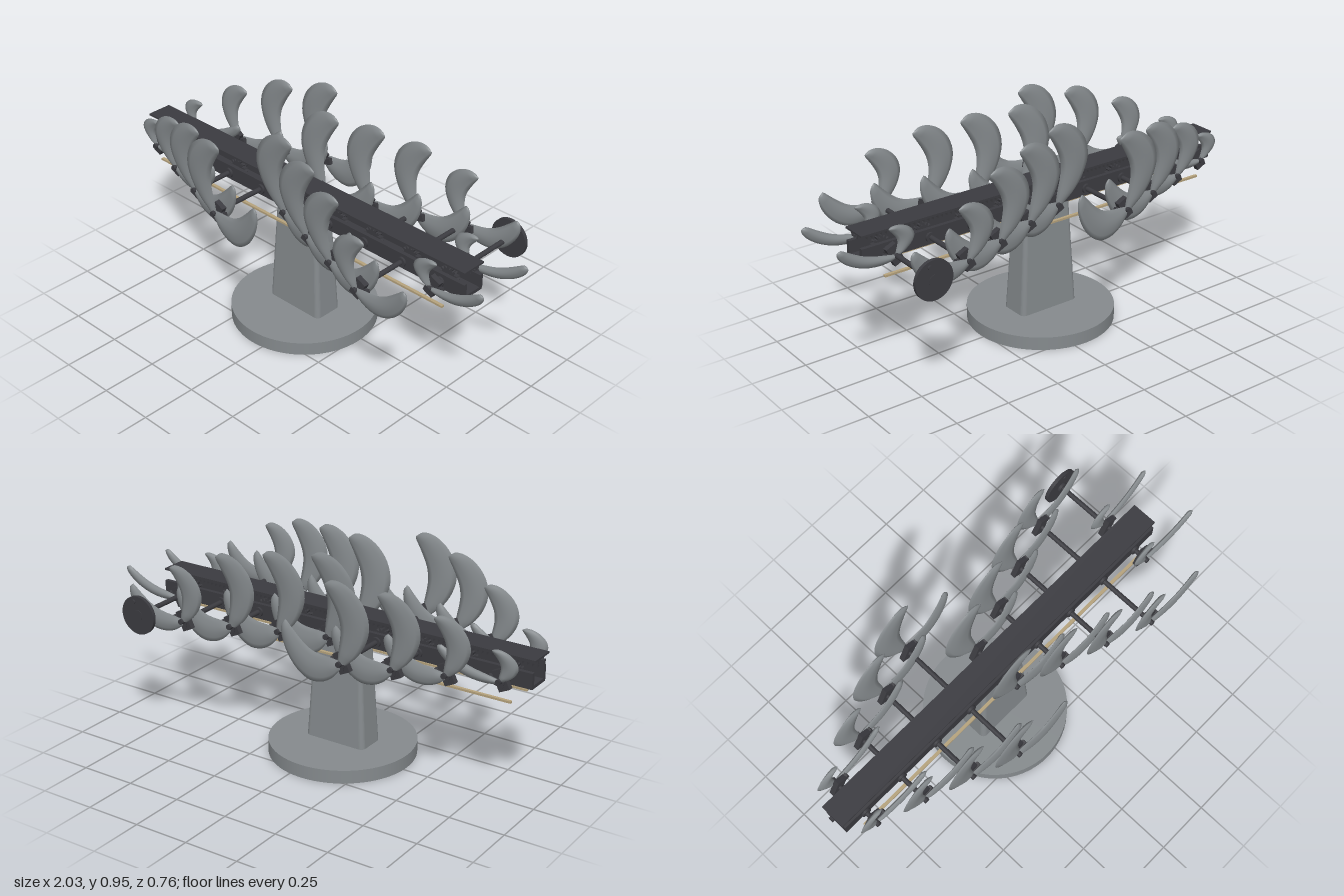
import * as THREE from 'three';

const CZ = 0.02;      // depth of the mechanism's centre plane
const AXLE_Y = 0.575; // height of all axles

export function createModel() {
  const grey = new THREE.MeshStandardMaterial({ color: 0x858a8d, side: THREE.DoubleSide });
  grey.name = 'grey';
  const dark = new THREE.MeshStandardMaterial({ color: 0x3b3b40 });
  dark.name = 'charcoal';
  const tan = new THREE.MeshStandardMaterial({ color: 0xb5a27c });
  tan.name = 'tan';

  const model = new THREE.Group();
  const add = (name, geo, mat, x = 0, y = 0, z = 0, parent = model) => {
    const mesh = new THREE.Mesh(geo, mat);
    mesh.name = name;
    mesh.position.set(x, y, z);
    parent.add(mesh);
    return mesh;
  };
  const box = (name, w, h, d, mat, x, y, z, parent) =>
    add(name, new THREE.BoxGeometry(w, h, d), mat, x, y, z, parent);
  const rod = (r, len, sides = 20) => new THREE.CylinderGeometry(r, r, len, sides).rotateX(Math.PI / 2);

  // Round base
  add('base', new THREE.CylinderGeometry(0.326, 0.326, 0.06, 64), grey, -0.057, 0.03, CZ);

  // Tapered column with rounded corners
  const hw = 0.148, hd = 0.07, r = 0.022;
  const section = new THREE.Shape();
  section.moveTo(-hw + r, -hd);
  section.lineTo(hw - r, -hd);
  section.absarc(hw - r, -hd + r, r, -Math.PI / 2, 0);
  section.absarc(hw - r, hd - r, r, 0, Math.PI / 2);
  section.absarc(-hw + r, hd - r, r, Math.PI / 2, Math.PI);
  section.absarc(-hw + r, -hd + r, r, Math.PI, Math.PI * 1.5);
  const column = new THREE.ExtrudeGeometry(section, { depth: 0.485, bevelEnabled: false, curveSegments: 6 });
  column.rotateX(-Math.PI / 2);
  const cp = column.attributes.position;
  for (let i = 0; i < cp.count; i++) {
    const t = cp.getY(i) / 0.485;
    cp.setX(i, cp.getX(i) * (1 - 0.2 * t));
    cp.setZ(i, cp.getZ(i) * (1 - 0.26 * t));
  }
  column.computeVertexNormals();
  add('column', column, grey, -0.057, 0.06, CZ);

  // Open trough carrying the axles
  box('troughFloor', 1.85, 0.015, 0.11, dark, -0.055, 0.5475, CZ);
  for (const s of [-1, 1]) {
    box('troughWall', 1.85, 0.065, 0.018, dark, -0.055, 0.578, CZ + s * 0.049);
    // Thin guide rods below the trough
    box('guideRod', 1.68, 0.009, 0.014, tan, -0.06, 0.473, CZ + s * 0.07);
    // Rails hanging under the cover
    box('coverRail', 1.85, 0.016, 0.008, dark, -0.06, 0.652, CZ + s * 0.022);
    box('railLip', 1.85, 0.005, 0.014, dark, -0.06, 0.643, CZ + s * 0.018);
  }
  box('coverPlate', 1.86, 0.008, 0.118, dark, -0.06, 0.664, CZ);

  // Toothed rack
  box('rack', 1.84, 0.024, 0.02, dark, -0.08, 0.644, CZ);
  const teeth = 80;
  const tooth = new THREE.BoxGeometry(0.01, 0.014, 0.02);
  const rackTeeth = new THREE.InstancedMesh(tooth, dark, 0);
  rackTeeth.dispose();
  for (let i = 0; i < teeth; i++)
    add('rackTooth', tooth, dark, -0.97 + i * 0.0225, 0.626, CZ);

  // Pinion outline
  const gearShape = new THREE.Shape();
  const n = 14;
  for (let i = 0; i < n; i++) {
    for (const [o, rad] of [[0, 0.034], [0.3, 0.034], [0.45, 0.045], [0.8, 0.045]]) {
      const a = ((i + o) / n) * Math.PI * 2;
      const x = Math.cos(a) * rad, y = Math.sin(a) * rad;
      if (i === 0 && o === 0) gearShape.moveTo(x, y);
      else gearShape.lineTo(x, y);
    }
  }
  gearShape.closePath();
  const gear = new THREE.ExtrudeGeometry(gearShape, { depth: 0.02, bevelEnabled: false });

  // Pairs of outer and inner edge points of a curved blade, root to tip
  const outer = [[-0.03, 0], [-0.085, 0.05], [-0.13, 0.12], [-0.15, 0.2], [-0.13, 0.28],
    [-0.08, 0.34], [-0.02, 0.371], [0.03, 0.373], [0.062, 0.352]];
  const inner = [[0.012, 0.005], [0.005, 0.06], [-0.005, 0.12], [-0.008, 0.17], [0.002, 0.22],
    [0.025, 0.27], [0.048, 0.31], [0.063, 0.335], [0.066, 0.346]];
  const curve = (pts) => new THREE.CatmullRomCurve3(pts.map(([x, y]) => new THREE.Vector3(x, y, 0)));
  const outerCurve = curve(outer), innerCurve = curve(inner);

  // Lens-sectioned blade; map() places its flat outline, side is the facing direction
  function bladeGeometry(map, side) {
    const rows = 28, half = 6, ring = half * 2;
    const pos = [], idx = [];
    for (let i = 0; i <= rows; i++) {
      const a = outerCurve.getPoint(i / rows), b = innerCurve.getPoint(i / rows);
      const thick = 0.011 * Math.min(1, a.distanceTo(b) / 0.08);
      for (let j = 0; j < ring; j++) {
        const t = j <= half ? j / half : (ring - j) / half;
        const bulge = (j <= half ? 1 : -1) * Math.sin(Math.PI * t) * thick;
        const p = a.clone().lerp(b, t);
        const [x, y] = map(p.x, p.y);
        pos.push(x, y, side * (bulge + Math.hypot(x, y) * 0.055));
      }
    }
    for (let i = 0; i < rows; i++) {
      for (let j = 0; j < ring; j++) {
        const k = (j + 1) % ring;
        const a = i * ring + j, b = i * ring + k, c = a + ring, d = b + ring;
        idx.push(a, b, d, a, d, c);
      }
    }
    const geo = new THREE.BufferGeometry();
    geo.setAttribute('position', new THREE.Float32BufferAttribute(pos, 3));
    geo.setIndex(idx);
    geo.computeVertexNormals();
    return geo;
  }

  // Nine axles, each with a pinion and a pair of blades at both ends
  const xs = [-0.87, -0.665, -0.46, -0.26, -0.055, 0.145, 0.345, 0.55, 0.75];
  const reach = [0.12, 0.19, 0.26, 0.33];
  const rise = [1, 0.96, 0.88, 0.68, 0.36];
  xs.forEach((x, i) => {
    const d = reach[i % 4];
    const s = rise[Math.abs(i - 4)];
    const axle = new THREE.Group();
    axle.name = 'bladeAxle';
    axle.position.set(x, AXLE_Y, CZ);
    model.add(axle);

    const back = i === 8 ? 0.38 : d;
    add('shaft', rod(0.011, d + back), dark, 0, 0, (d - back) / 2, axle);
    add('pinion', gear, dark, 0, 0, -0.01, axle);

    for (const side of [-1, 1]) {
      const hub = box('hubBlock', 0.05, 0.09, 0.024, dark, 0, 0, side * (d - 0.018), axle);
      hub.rotation.z = -0.45;
      const clamp = box('hubArm', 0.075, 0.03, 0.018, dark, 0.02, -0.008, side * (d - 0.012), axle);
      clamp.rotation.z = 0.25;
      add('hubBolt', rod(0.012, 0.02, 12), dark, 0, 0, side * (d + 0.008), axle);
      add('bearing', rod(0.022, 0.012), dark, 0, 0, side * 0.062, axle);

      const wide = 0.3 + 0.7 * s;
      add('upperBlade', bladeGeometry((u, v) => [u * wide, v * s], side), grey, 0, 0, side * d, axle);
      add('lowerBlade', bladeGeometry((u, v) => [v * 0.74, u * s + v * 0.22], side), grey, 0, 0, side * d, axle);
    }
  });

  // Crank wheel on the last axle
  const wheel = new THREE.Group();
  wheel.name = 'crankWheel';
  wheel.position.set(0.75, AXLE_Y, -0.362);
  model.add(wheel);
  add('wheelDisc', rod(0.087, 0.016, 48), dark, 0, 0, 0, wheel);
  add('wheelHub', rod(0.025, 0.03), dark, 0, 0, 0.005, wheel);
  add('wheelPin', rod(0.01, 0.026, 16), dark, 0.02, 0.06, -0.002, wheel);

  return model;
}
